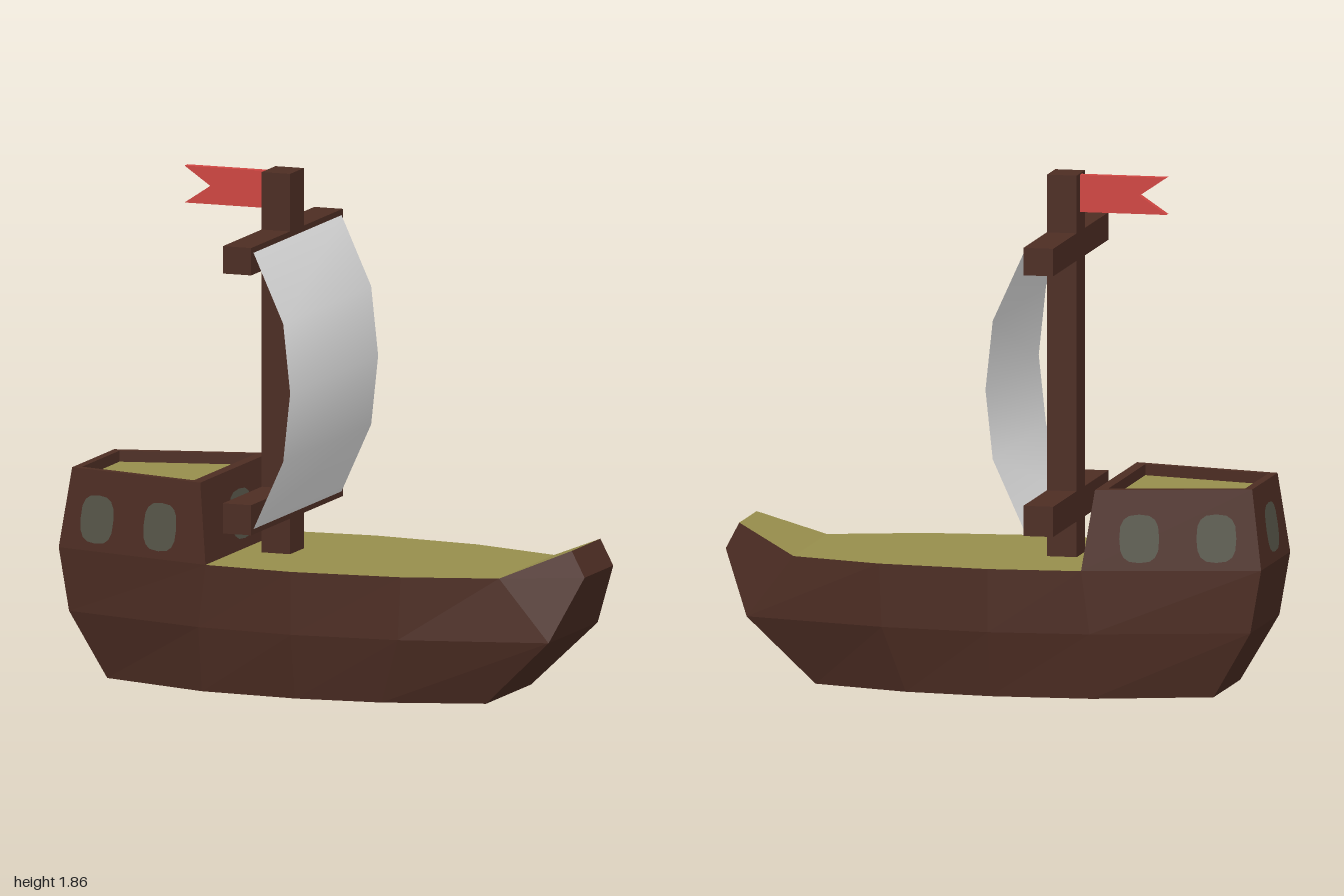
import * as THREE from 'three';

const mat = (name, color, extra = {}) => {
  const m = new THREE.MeshStandardMaterial({ color, ...extra });
  m.name = name;
  return m;
};

// Flat-shaded mesh from convex polygons, corners counter-clockwise from outside
function faceMesh(name, material, polygons) {
  const pos = [];
  for (const p of polygons)
    for (let i = 1; i < p.length - 1; i++) pos.push(...p[0], ...p[i], ...p[i + 1]);
  const g = new THREE.BufferGeometry();
  g.setAttribute('position', new THREE.Float32BufferAttribute(pos, 3));
  g.computeVertexNormals();
  const mesh = new THREE.Mesh(g, material);
  mesh.name = name;
  return mesh;
}

const flip = ([x, y, z]) => [x, y, -z];
const mirrored = (p) => [p, p.map(flip).reverse()];
// Polygon spanning both sides from an edge a-b on the +z side
const across = (a, b) => [a, b, flip(b), flip(a)];

export function createModel() {
  const wood = mat('dark wood', 0x4d2d23);
  const planks = mat('deck yellow', 0x978e4c);
  const cloth = mat('sail white', 0xe6e6e6, { side: THREE.DoubleSide });
  const red = mat('flag red', 0xd14642);
  const glass = mat('window grey', 0x565548);

  const model = new THREE.Group();
  model.name = 'sailingShip';
  const add = (mesh, name) => {
    if (name) mesh.name = name;
    model.add(mesh);
    return mesh;
  };

  // Hull: three outlines on the +z side, stern to bow
  const line = (y, pts) => pts.map(([x, z]) => [x, y, z]);
  const keel = line(0, [[-0.82, 0.215], [-0.4, 0.35], [-0.03, 0.37], [0.29, 0.335], [0.65, 0.22]]);
  const bilge = line(0.24, [[-0.96, 0.235], [-0.4, 0.385], [-0.03, 0.415], [0.37, 0.378], [0.9, 0.24]]);
  const rail = line(0.47, [[-1, 0.235], [-0.37, 0.39], [-0.03, 0.415], [0.38, 0.375], [0.72, 0.27]]);
  const stem = [1, 0.47, 0.14], bowTop = [0.95, 0.565, 0.14];
  const hull = [];
  for (let i = 0; i < 4; i++) {
    hull.push(...mirrored([keel[i], keel[i + 1], bilge[i + 1], bilge[i]]));
    hull.push(...mirrored([bilge[i], bilge[i + 1], rail[i + 1], rail[i]]));
    hull.push(across(keel[i], keel[i + 1]).reverse());
  }
  hull.push(...mirrored([bilge[4], stem, rail[4]]), ...mirrored([stem, bowTop, rail[4]]));
  hull.push(across(keel[4], bilge[4]).reverse(), across(bilge[4], stem).reverse(), across(stem, bowTop).reverse());
  hull.push(across(keel[0], bilge[0]), across(bilge[0], rail[0]));
  add(faceMesh('hull', wood, hull));

  // Deck, rising at the bow
  const deck = [];
  for (let i = 1; i < 4; i++) deck.push(across(rail[i], rail[i + 1]));
  deck.push(across(rail[4], bowTop));
  add(faceMesh('deck', planks, deck));

  // Stern cabin with a raised rim around its roof
  const topB = [-0.96, 0.76, 0.205], topF = [-0.41, 0.76, 0.34];
  const inB = [-0.93, 0.76, 0.182], inF = [-0.45, 0.76, 0.3];
  const lower = ([x, , z]) => [x, 0.72, z];
  const floorB = lower(inB), floorF = lower(inF);
  add(faceMesh('cabin', wood, [
    ...mirrored([rail[0], rail[1], topF, topB]),
    across(rail[0], topB),
    across(topF, rail[1]),
    ...mirrored([topB, topF, inF, inB]),
    across(topB, inB),
    across(inF, topF),
    ...mirrored([floorF, floorB, inB, inF]),
    across(inB, floorB),
    across(floorF, inF),
  ]));
  add(faceMesh('cabinRoof', planks, [across(floorB, floorF)]));

  // Rounded window plates lying on the cabin walls
  const windowPlate = (name, center, normal, w, h) => {
    const pts = [];
    for (let i = 0; i < 16; i++) {
      const a = (i / 16) * Math.PI * 2, c = Math.cos(a), s = Math.sin(a);
      pts.push(new THREE.Vector2(
        Math.sign(c) * Math.abs(c) ** 0.7 * w / 2, Math.sign(s) * Math.abs(s) ** 0.7 * h / 2));
    }
    const mesh = add(new THREE.Mesh(new THREE.ShapeGeometry(new THREE.Shape(pts)), glass), name);
    const n = new THREE.Vector3(...normal).normalize();
    mesh.position.set(...center).addScaledVector(n, 0.004);
    mesh.lookAt(mesh.position.clone().add(n));
  };
  for (const s of [1, -1])
    for (const [x, y] of [[-0.84, 0.585], [-0.57, 0.585]]) {
      const z = 0.235 + 0.246 * (x + 1) - 0.138 * (y - 0.47);
      windowPlate(s > 0 ? 'leftWindow' : 'rightWindow', [x, y, s * z], [-0.246, 0.138, s], 0.144, 0.175);
    }
  windowPlate('sternWindow', [-0.983, 0.595, 0], [-0.29, 0.04, 0], 0.18, 0.18);
  windowPlate('frontWindow', [-0.387, 0.595, 0], [0.29, 0.04, 0], 0.22, 0.18);

  // Mast and the two yards
  const beam = (name, y0, y1, depth) => {
    const m = add(new THREE.Mesh(new THREE.BoxGeometry(0.11, y1 - y0, depth), wood), name);
    m.position.set(-0.225, (y0 + y1) / 2, 0);
  };
  beam('mast', 0.46, 1.86, 0.135);
  beam('upperYard', 1.55, 1.65, 0.895);
  beam('lowerYard', 0.6, 0.71, 0.895);

  // Sail bulging forward between the yards
  const sailGeo = new THREE.PlaneGeometry(0.86, 1.01, 1, 4).rotateY(Math.PI / 2);
  const bulge = [0, 0.115, 0.142, 0.115, 0];
  const p = sailGeo.attributes.position;
  for (let i = 0; i < p.count; i++) p.setX(i, -0.168 + bulge[Math.floor(i / 2)]);
  sailGeo.translate(0, 1.125, 0);
  sailGeo.computeVertexNormals();
  add(new THREE.Mesh(sailGeo, cloth), 'sail');

  // Swallow-tailed flag
  const flagShape = new THREE.Shape(
    [[-0.27, 1.72], [-0.27, 1.855], [-0.6, 1.855], [-0.5, 1.787], [-0.6, 1.72]].map((q) => new THREE.Vector2(...q)));
  const flagGeo = new THREE.ExtrudeGeometry(flagShape, { depth: 0.03, bevelEnabled: false });
  add(new THREE.Mesh(flagGeo.translate(0, 0, -0.015), red), 'flag');

  return model;
}
